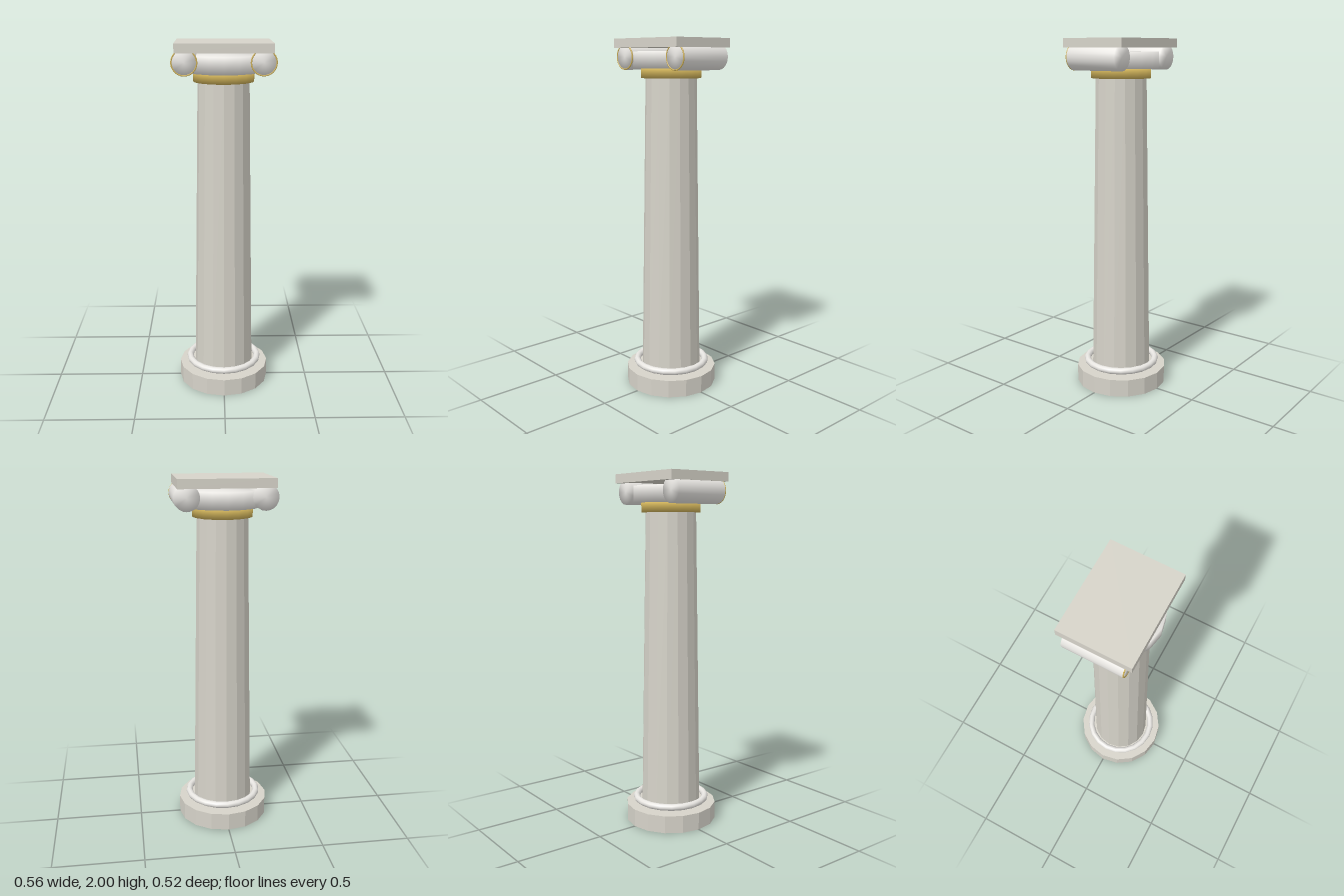
import * as THREE from 'three';
import { mergeVertices } from 'three/addons/utils/BufferGeometryUtils.js';

const stone = new THREE.MeshStandardMaterial({ color: 0xd6d3c9, flatShading: true });
const marble = new THREE.MeshStandardMaterial({ color: 0xe8e6e2 });
const gold = new THREE.MeshStandardMaterial({ color: 0xcfb25a });

// Shares normals across every edge, for softly shaded drums
function soften(geometry) {
  geometry.deleteAttribute('normal');
  geometry.deleteAttribute('uv');
  const merged = mergeVertices(geometry, 1e-4);
  merged.computeVertexNormals();
  return merged;
}

function drum(rTop, rBottom, y0, y1, sides = 16) {
  return new THREE.CylinderGeometry(rTop, rBottom, y1 - y0, sides).translate(0, (y0 + y1) / 2, 0);
}

export function createModel() {
  const column = new THREE.Group();
  column.name = 'column';

  const add = (name, geometry, material) => {
    const mesh = new THREE.Mesh(geometry, material);
    mesh.name = name;
    column.add(mesh);
    return mesh;
  };

  // Base: faceted plinth and rounded moulding
  add('plinth', drum(0.262, 0.262, 0, 0.1), stone);
  add('baseMoulding', new THREE.TorusGeometry(0.202, 0.019, 10, 20).rotateX(Math.PI / 2).translate(0, 0.13, 0), marble);

  // Tapered shaft
  add('shaft', drum(0.142, 0.171, 0.1, 1.8), stone);

  // Capital: gilded neck, cushion and slab
  add('neckBand', soften(drum(0.167, 0.167, 1.787, 1.84)), gold);
  add('cushion', soften(drum(0.21, 0.21, 1.84, 1.93)), marble);
  add('abacus', new THREE.BoxGeometry(0.52, 0.05, 0.39).translate(0, 1.975, 0), stone);

  // Scroll rolls with a gilded rim on the front end
  for (const side of [-1, 1]) {
    const label = side > 0 ? 'left' : 'right';
    const roll = new THREE.CylinderGeometry(0.07, 0.07, 0.32, 20).rotateX(Math.PI / 2);
    add(label + 'Scroll', soften(roll), marble).position.set(side * 0.209, 1.9, 0);
    add(label + 'ScrollRim', new THREE.TorusGeometry(0.067, 0.004, 8, 24), gold)
      .position.set(side * 0.209, 1.9, 0.159);
  }
  return column;
}
